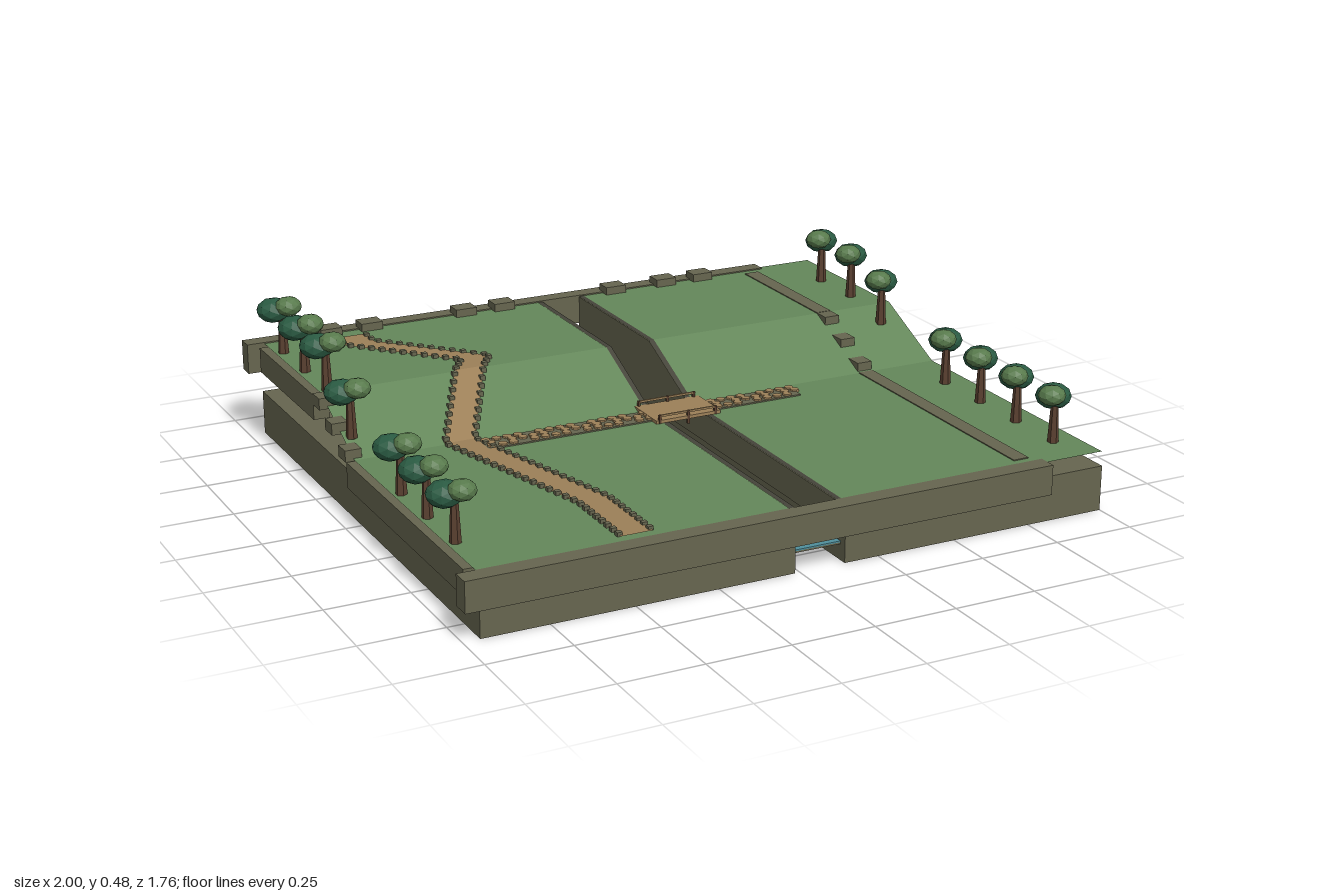
import * as THREE from 'three';

const mat = (name, color, side = THREE.FrontSide) => {
  const m = new THREE.MeshStandardMaterial({ color, side, flatShading: true });
  m.name = name;
  return m;
};

export function createModel() {
  const root = new THREE.Group();
  root.name = 'terracedPark';
  const stone = mat('stone', 0x66654f);
  const darkStone = mat('dark stone', 0x45443a);
  const grass = mat('grass', 0x64875a, THREE.DoubleSide);
  const water = mat('water', 0x4f8f9c);
  const earth = mat('earth', 0x9c8058, THREE.DoubleSide);
  const bark = mat('bark', 0x5a4030);
  const darkLeaf = mat('dark leaf', 0x2a5a42);
  const lightLeaf = mat('light leaf', 0x587a4c);

  const add = (name, geometry, material, parent = root) => {
    const mesh = new THREE.Mesh(geometry, material);
    mesh.name = name;
    parent.add(mesh);
    return mesh;
  };
  const box = (name, material, x0, x1, y0, y1, z0, z1, parent = root) => {
    const mesh = add(name, new THREE.BoxGeometry(x1 - x0, y1 - y0, z1 - z0), material, parent);
    mesh.position.set((x0 + x1) / 2, (y0 + y1) / 2, (z0 + z1) / 2);
    return mesh;
  };

  // Ground height: low lawn, slope, high lawn
  const SLOPE_FRONT = -0.055, SLOPE_BACK = -0.32;
  const ground = (z) => 0.18 + 0.12 * THREE.MathUtils.clamp((SLOPE_FRONT - z) / (SLOPE_FRONT - SLOPE_BACK), 0, 1);

  // Strip made of sections [z, x0, x1] laid over the ground
  const strip = (name, material, sections, lift) => {
    const pos = [];
    for (let i = 0; i < sections.length - 1; i++) {
      const [za, a0, a1] = sections[i], [zb, b0, b1] = sections[i + 1];
      const ya = ground(za) + lift, yb = ground(zb) + lift;
      pos.push(a0, ya, za, b0, yb, zb, a1, ya, za);
      pos.push(a1, ya, za, b0, yb, zb, b1, yb, zb);
    }
    const g = new THREE.BufferGeometry();
    g.setAttribute('position', new THREE.Float32BufferAttribute(pos, 3));
    g.computeVertexNormals();
    return add(name, g, material);
  };

  // Base blocks, lawns and rear facing on both sides of the canal
  for (const [side, x0, lawn0, x1] of [['right', -0.95, -0.945, -0.015], ['left', 0.142, 0.145, 1]]) {
    box(side + 'Base', stone, x0, x1, 0, 0.137, -0.855, 0.855);
    const lawn1 = side === 'right' ? -0.018 : 1;
    strip(side + 'Lawn', grass, [-0.85, SLOPE_BACK, SLOPE_FRONT, 0.85].map((z) => [z, lawn0, lawn1]), 0);
    const facing = add(side + 'RearFacing', new THREE.PlaneGeometry(x1 - x0, 0.085), stone);
    facing.position.set((x0 + x1) / 2, 0.1795, -0.855);
    facing.rotation.y = Math.PI;
  }

  // Canal: floor, water and retaining walls that follow the ground
  box('canalFloor', stone, -0.015, 0.142, 0.048, 0.053, -0.83, 0.83);
  box('canalWater', water, -0.015, 0.142, 0.053, 0.057, -0.83, 0.83);
  const profile = new THREE.Shape();
  profile.moveTo(-0.83, 0.09);
  profile.lineTo(0.83, 0.09);
  [-0.83, SLOPE_BACK, SLOPE_FRONT, 0.83].forEach((z) => profile.lineTo(-z, ground(z) - 0.002));
  for (const x of [-0.018, 0.129]) {
    const g = new THREE.ExtrudeGeometry(profile, { depth: 0.016, bevelEnabled: false });
    g.rotateY(Math.PI / 2);
    add('canalWall', g, stone).position.x = x;
    strip('canalCoping', darkStone,
      [-0.83, SLOPE_BACK, SLOPE_FRONT, 0.83].map((z) => [z, x, x + 0.016]), 0.0005);
  }

  // Perimeter walls
  box('frontWall', stone, -1, 0.81, 0.09, 0.181, 0.823, 0.88);
  box('backWall', stone, -1, 0.81, 0.21, 0.304, -0.88, -0.828);
  for (const x of [-0.735, -0.6, -0.28, -0.147, 0.25, 0.435, 0.57]) {
    box('merlon', stone, x - 0.035, x + 0.035, 0.28, 0.325, -0.855, -0.8);
  }
  for (const [x, lift] of [[-0.97, -0.002], [0.73, 0.003]]) {
    box('lowSideWall', stone, x, x + 0.05, 0.1, 0.18 + lift, -0.055, 0.8);
    box('highSideWall', stone, x, x + 0.05, 0.22, 0.3 + lift, -0.8, -0.32);
    [[-0.09, 0.21], [-0.195, 0.257], [-0.295, 0.302]].forEach(([z, top]) =>
      box('slopeWallStep', stone, x, x + 0.05, top - 0.035, top, z - 0.028, z + 0.028));
  }

  // Winding footpath with edging stones
  const route = [[-0.77, -0.685], [-0.69, -0.685], [-0.4, -0.42], [SLOPE_BACK, -0.475],
    [SLOPE_FRONT, -0.62], [0.53, -0.47], [0.8, -0.47]];
  strip('footpath', earth, route.map(([z, x]) => [z, x - 0.048, x + 0.048]), 0.004);
  for (let i = 0; i < route.length - 1; i++) {
    const [za, xa] = route[i], [zb, xb] = route[i + 1];
    const n = Math.round(Math.hypot(zb - za, xb - xa) / 0.035);
    for (let k = 0; k < n; k++) {
      const t = (k + 0.5) / n, z = za + (zb - za) * t, x = xa + (xb - xa) * t;
      for (const s of [-1, 1]) {
        const e = x + s * 0.046, y = ground(z);
        box('edgingStone', stone, e - 0.008, e + 0.008, y - 0.005, y + 0.012, z - 0.008, z + 0.008);
      }
    }
  }

  // Cobbled cross path on both sides of the bridge
  for (const [x0, x1] of [[-0.57, -0.04], [0.17, 0.465]]) {
    box('cobbleBed', stone, x0, x1, 0.178, 0.184, -0.038, 0.042);
    const n = Math.round((x1 - x0) / 0.034);
    for (let i = 0; i < n; i++) {
      [-0.022, 0.002, 0.026].forEach((z, j) => {
        if ((i * 2 + j) % 5 === 3) return;
        const cobble = add('cobble', new THREE.CylinderGeometry(0.014, 0.015, 0.008, 7), earth);
        cobble.position.set(x0 + 0.017 + i * 0.034 + (j % 2) * 0.006, 0.185, z);
        cobble.rotation.y = i + j;
      });
    }
  }

  // Footbridge with low rails
  const bridge = new THREE.Group();
  bridge.name = 'footbridge';
  root.add(bridge);
  box('deck', earth, -0.043, 0.173, 0.18, 0.19, -0.075, 0.07, bridge);
  for (const z of [-0.072, 0.067]) {
    for (const x of [-0.03, 0.065, 0.155]) {
      box('railPost', bark, x - 0.004, x + 0.004, 0.165, 0.206, z - 0.004, z + 0.004, bridge);
    }
    box('rail', earth, -0.035, 0.16, 0.2, 0.206, z - 0.003, z + 0.003, bridge);
  }

  // Two-tone trees along both edges
  const crown = (name, material, r, h, x, y, z, tree) => {
    const mesh = add(name, new THREE.IcosahedronGeometry(r, 1), material, tree);
    mesh.scale.y = h / r;
    mesh.position.set(x, y, z);
  };
  const plant = (x, z, s) => {
    const tree = new THREE.Group();
    tree.name = 'tree';
    tree.position.set(x, ground(z), z);
    root.add(tree);
    const trunk = add('trunk', new THREE.CylinderGeometry(0.011, 0.017, 0.12, 6), bark, tree);
    trunk.position.y = 0.058;
    crown('lowerCrown', darkLeaf, 0.053, 0.038, 0.015 * s, 0.13, -0.03, tree);
    crown('upperCrown', lightLeaf, 0.041, 0.03, -0.019 * s, 0.149, 0.01, tree);
  };
  [-0.72, -0.525, -0.335, -0.14, 0.245, 0.435, 0.63].forEach((z) => plant(-0.92, z, -1));
  [-0.62, -0.43, -0.24, 0.145, 0.34, 0.53, 0.72].forEach((z) => plant(0.92, z, 1));

  return root;
}
